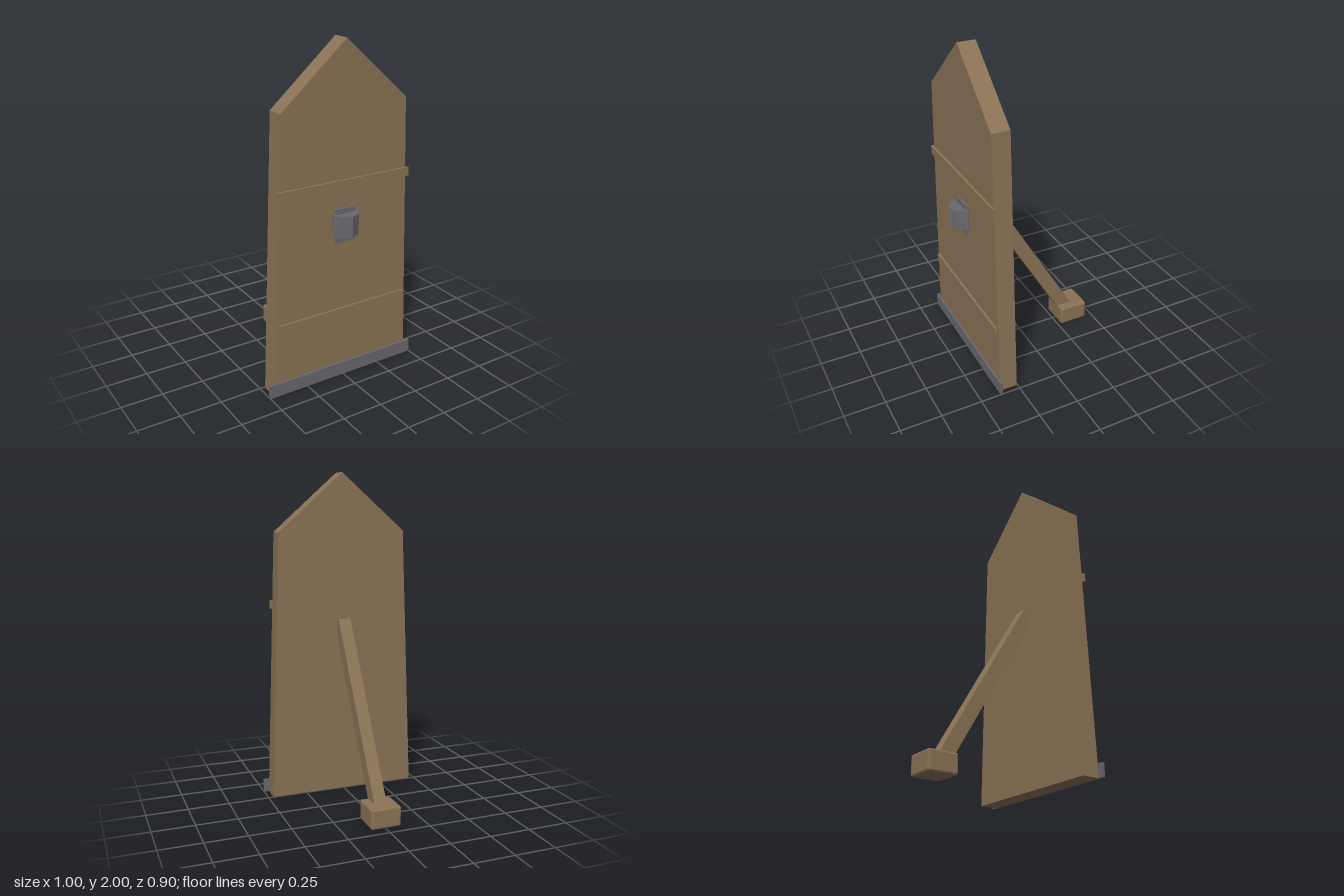
import * as THREE from 'three';
import { RoundedBoxGeometry } from 'three/addons/geometries/RoundedBoxGeometry.js';

export function createModel() {
  const model = new THREE.Group();
  const wood = new THREE.MeshStandardMaterial({ color: 0x8b7355, flatShading: true });
  wood.name = 'wood';
  const metal = new THREE.MeshStandardMaterial({ color: 0x68686e, flatShading: true });
  metal.name = 'metal';

  const add = (name, geometry, material, x, y, z) => {
    const mesh = new THREE.Mesh(geometry, material);
    mesh.name = name;
    mesh.position.set(x, y, z);
    model.add(mesh);
    return mesh;
  };

  // Tapered board with a pointed top
  const back = 0.254, front = 0.363;
  const outline = new THREE.Shape([
    [-0.468, 0], [0.468, 0], [0.405, 1.645], [0, 2], [-0.405, 1.645],
  ].map(([x, y]) => new THREE.Vector2(x, y)));
  add('shieldBoard', new THREE.ExtrudeGeometry(outline, { depth: front - back, bevelEnabled: false }),
    wood, 0, 0, back);

  // Thin strips on the front face, set slightly into the board
  const strip = (name, width, y0, y1, material) =>
    add(name, new THREE.BoxGeometry(width, y1 - y0, 0.017), material, 0, (y0 + y1) / 2, 0.3685);
  strip('lowerBatten', 0.872, 0.395, 0.445, wood);
  strip('upperBatten', 0.872, 1.177, 1.229, wood);
  strip('bottomPlate', 1.0, 0, 0.08, metal);
  strip('bossPlate', 0.125, 0.863, 1.063, metal);

  // Eight-sided boss, its rear half buried in the board
  add('boss', new THREE.CylinderGeometry(0.08, 0.08, 0.123, 8), metal, 0, 0.972, 0.367);

  // Slanted prop, leaning from the foot up to the board
  const top = new THREE.Vector2(0.222, 1.11); // upper rear corner as (z, y)
  const angle = 0.531, length = 1.2, depth = 0.085;
  const sin = Math.sin(angle), cos = Math.cos(angle);
  const prop = add('prop', new THREE.BoxGeometry(0.077, length, depth), wood, 0,
    top.y - cos * length / 2 - sin * depth / 2,
    top.x - sin * length / 2 + cos * depth / 2);
  prop.rotation.x = angle;

  // Chamfered foot block
  add('footBlock', new RoundedBoxGeometry(0.184, 0.12, 0.184, 1, 0.011), wood, 0, 0.064, -0.358);

  return model;
}
